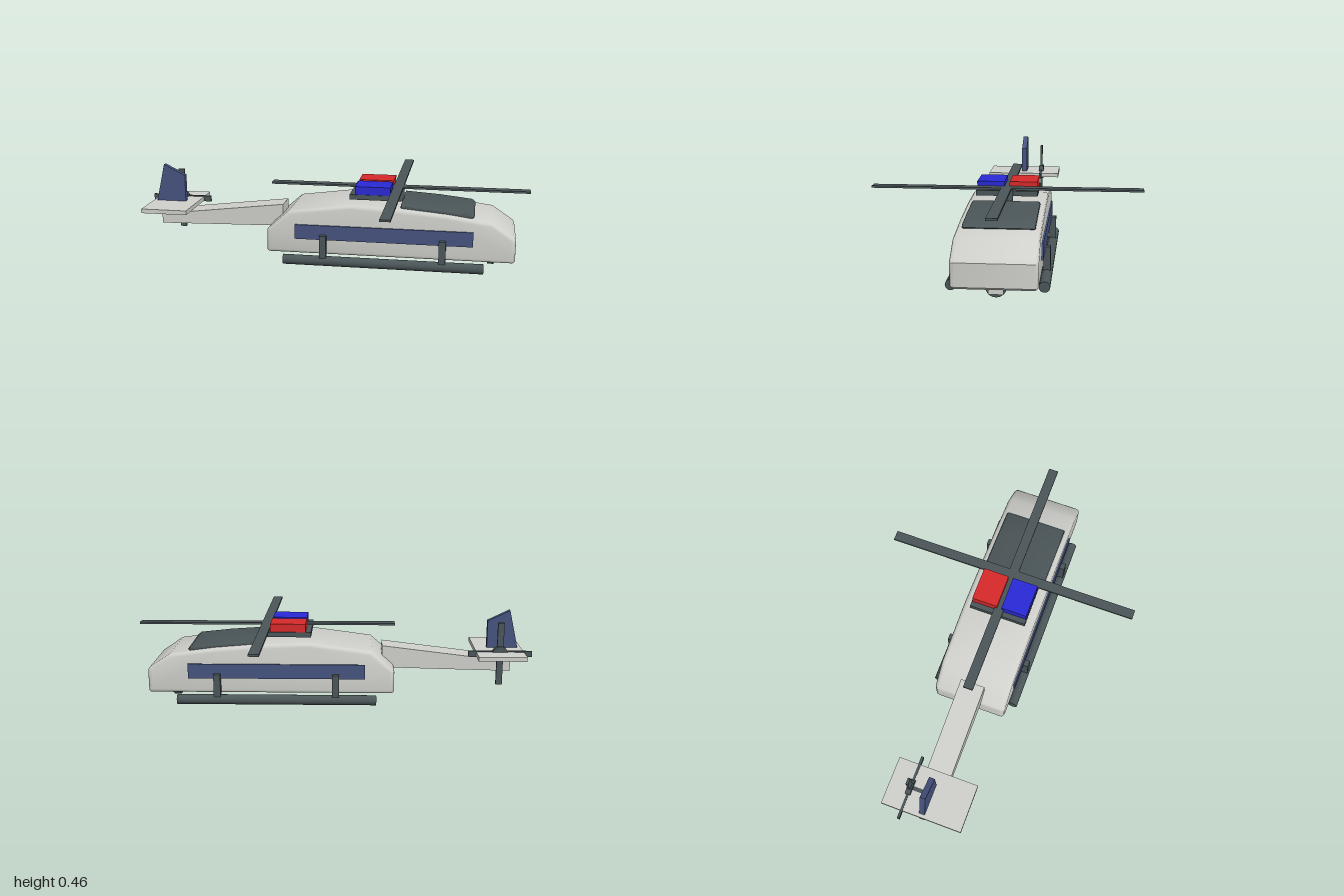
import * as THREE from 'three';
import { toCreasedNormals } from 'three/addons/utils/BufferGeometryUtils.js';

const mat = (name, color) => new THREE.MeshStandardMaterial({ name, color });

export function createModel() {
  const model = new THREE.Group();
  model.name = 'helicopter';
  const shell = mat('light grey shell', 0xd0d0cc);
  const dark = mat('dark slate', 0x4b5659);
  const navy = mat('navy', 0x465480);
  const red = mat('red lamp', 0xd82a2a);
  const blue = mat('blue lamp', 0x2a2ad8);

  const add = (name, geometry, material, parent = model) => {
    const mesh = new THREE.Mesh(geometry, material);
    mesh.name = name;
    parent.add(mesh);
    return mesh;
  };
  // Box given by its minimum and maximum corners
  const box = (name, material, [x0, y0, z0], [x1, y1, z1], parent) =>
    add(name, new THREE.BoxGeometry(x1 - x0, y1 - y0, z1 - z0)
      .translate((x0 + x1) / 2, (y0 + y1) / 2, (z0 + z1) / 2), material, parent);
  // Side profile in x and y, extruded across z, with an optional soft edge
  const profile = (name, material, points, halfWidth, bevel = 0) => {
    const shape = new THREE.Shape(points.map(([x, y]) => new THREE.Vector2(x, y)));
    const depth = 2 * (halfWidth - bevel);
    const geometry = new THREE.ExtrudeGeometry(shape, {
      depth, bevelEnabled: bevel > 0, bevelSize: bevel, bevelThickness: bevel,
      bevelOffset: -bevel, bevelSegments: 3,
    }).translate(0, 0, -depth / 2);
    return add(name, toCreasedNormals(geometry, 0.6), material);
  };

  // Fuselage
  profile('fuselage', shell, [
    [-0.305, 0.075], [-0.295, 0.065], [0.925, 0.065], [0.935, 0.075], [0.935, 0.182],
    [0.925, 0.195], [0.82, 0.266], [0.60, 0.296], [0.36, 0.317], [0.125, 0.326],
    [-0.19, 0.284], [-0.297, 0.19], [-0.305, 0.178],
  ], 0.19, 0.02);
  profile('windscreen', dark, [
    [0.37, 0.29], [0.71, 0.27], [0.732, 0.285], [0.715, 0.299], [0.55, 0.317], [0.37, 0.329],
  ], 0.163, 0.008);

  // Tail
  profile('tailBoom', shell, [
    [-0.9, 0.155], [-0.245, 0.17], [-0.245, 0.284], [-0.9, 0.205],
  ], 0.063);
  profile('tailFin', navy, [
    [-0.957, 0.2], [-0.785, 0.2], [-0.785, 0.405], [-0.897, 0.46],
  ], 0.014);
  box('stabilizer', shell, [-0.96, 0.243, -0.206], [-0.72, 0.265, 0.206]);

  // Tail rotor
  const tailRotor = new THREE.Group();
  tailRotor.name = 'tailRotor';
  tailRotor.position.set(-0.84, 0.255, -0.1);
  model.add(tailRotor);
  box('tailBladeLevel', dark, [-0.16, -0.015, -0.006], [0.16, 0.015, 0.006], tailRotor);
  box('tailBladeUpright', dark, [-0.016, -0.16, -0.006], [0.016, 0.16, 0.006], tailRotor);
  add('tailHub', new THREE.CylinderGeometry(0.04, 0.04, 0.026, 16).rotateX(Math.PI / 2), dark, tailRotor);
  box('tailAxle', dark, [-0.01, -0.01, 0], [0.01, 0.01, 0.09], tailRotor);

  // Main rotor
  box('rotorBladeLengthwise', dark, [-0.31, 0.382, -0.025], [1, 0.392, 0.025]);
  box('rotorBladeCrosswise', dark, [0.32, 0.382, -0.65], [0.37, 0.392, 0.65]);
  add('rotorMast', new THREE.CylinderGeometry(0.03, 0.03, 0.08, 16).translate(0.345, 0.345, 0), dark);

  // Light bar
  box('lightBarBase', dark, [0.113, 0.347, -0.148], [0.34, 0.372, 0.148]);
  box('blueLamp', blue, [0.14, 0.372, 0.012], [0.317, 0.413, 0.145]);
  box('redLamp', red, [0.14, 0.372, -0.145], [0.317, 0.413, -0.012]);

  // Side windows and landing skids
  for (const side of [1, -1]) {
    const group = new THREE.Group();
    group.name = side > 0 ? 'leftSide' : 'rightSide';
    model.add(group);
    const zRange = (a, b) => (side > 0 ? [a, b] : [-b, -a]);
    const [w0, w1] = zRange(0.189, 0.198);
    box('sideWindow', navy, [-0.157, 0.144, w0], [0.73, 0.218, w1], group);
    add('skid', new THREE.CylinderGeometry(0.025, 0.025, 1, 20)
      .rotateZ(Math.PI / 2).translate(0.285, 0.038, side * 0.207), dark, group);
    const [s0, s1] = zRange(0.189, 0.224);
    for (const x of [-0.012, 0.582]) {
      box('skidStrut', dark, [x - 0.017, 0.04, s0], [x + 0.017, 0.17, s1], group);
    }
  }

  // Searchlight under the nose
  add('searchlightHousing', new THREE.CylinderGeometry(0.047, 0.047, 0.034, 24)
    .rotateZ(Math.PI / 2).translate(0.82, 0.05, 0), dark);
  box('searchlightLens', shell, [0.83, 0.018, -0.033], [0.845, 0.07, 0.033]);

  // Rest the lowest point on the ground
  model.position.y = -new THREE.Box3().setFromObject(model).min.y;
  return model;
}
